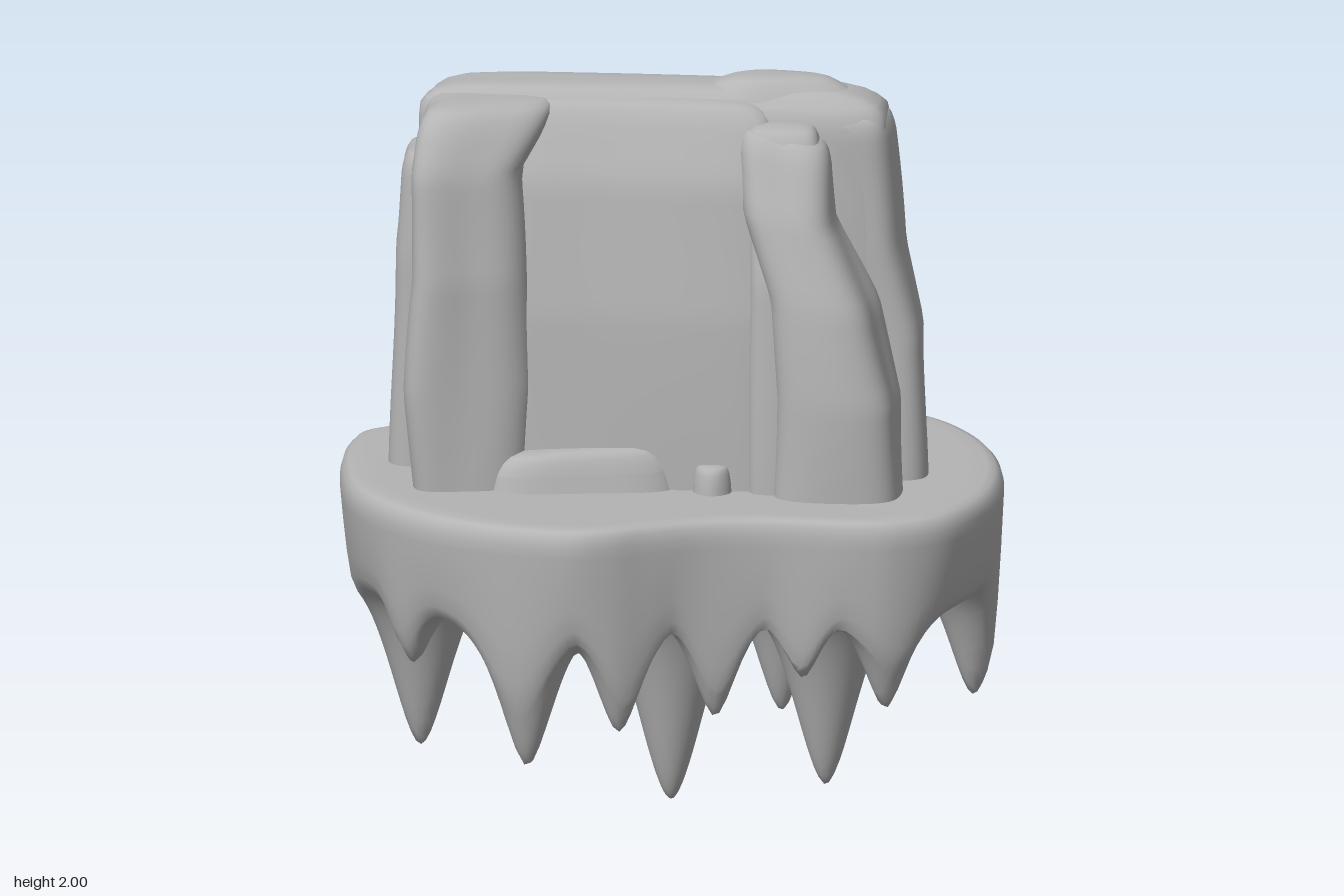
import * as THREE from 'three';

const stone = new THREE.MeshStandardMaterial({ color: 0xb4b4b4 });
stone.name = 'grey stone';

// Smooth skin over closed rings of equal length, ordered bottom to top
function skin(name, rings) {
  const n = rings[0].length, pos = [], idx = [];
  rings.forEach(r => r.forEach(p => pos.push(...p)));
  for (let j = 0; j < rings.length - 1; j++) {
    for (let i = 0; i < n; i++) {
      const a = j * n + i, b = j * n + (i + 1) % n;
      idx.push(a, a + n, b, b, a + n, b + n);
    }
  }
  const g = new THREE.BufferGeometry();
  g.setAttribute('position', new THREE.Float32BufferAttribute(pos, 3));
  g.setIndex(idx);
  g.computeVertexNormals();
  const mesh = new THREE.Mesh(g, stone);
  mesh.name = name;
  return mesh;
}

// Island: outline seen from above, and drip tips as [x, y, z]
const outline = [
  [-0.87, -0.2], [-0.84, -0.31], [-0.6, -0.44], [-0.28, -0.57], [-0.12, -0.675], [0, -0.705],
  [0.25, -0.7], [0.45, -0.67], [0.62, -0.6], [0.76, -0.42], [0.84, -0.2], [0.865, 0.02],
  [0.845, 0.22], [0.76, 0.42], [0.64, 0.51], [0.55, 0.53], [0.3, 0.52], [0.15, 0.55],
  [0, 0.62], [-0.1, 0.675], [-0.2, 0.7], [-0.45, 0.64], [-0.65, 0.51], [-0.8, 0.3], [-0.86, 0.05],
];
const drips = [
  // Long inner drips
  [-0.02, 0, -0.18], [0.41, 0.12, 0.08], [-0.65, 0.19, 0.05], [0.27, 0.25, -0.17],
  [-0.14, 0.39, 0.25], [0.13, 0.4, 0], [-0.34, 0.46, -0.08],
  // Drips along the rim
  [-0.32, 0.28, 0.57], [-0.08, 0.38, 0.58], [0.16, 0.4, 0.47], [0.39, 0.51, 0.47],
  [0.6, 0.42, 0.42], [0.78, 0.33, -0.08], [0.66, 0.52, -0.48], [0.3, 0.29, -0.62],
  [0.01, 0.42, -0.61], [-0.25, 0.45, -0.5], [-0.44, 0.42, -0.41], [-0.71, 0.46, -0.24],
  [-0.63, 0.51, 0.42],
];

// Height of the underside: rounded drips blended into a shallow core
function under(x, z, s) {
  const core = 0.13 * (1 - THREE.MathUtils.smoothstep(s, 0.1, 0.75));
  let sum = core ** 4;
  for (const [dx, dy, dz] of drips) {
    const depth = 0.67 - dy, w = 0.04 + 0.145 * depth;
    const f = depth * Math.exp(-((Math.hypot(x - dx, z - dz) / w) ** 1.75));
    sum += f ** 4;
  }
  return 0.67 - sum ** 0.25;
}

function island() {
  const curve = new THREE.CatmullRomCurve3(
    outline.map(([x, z]) => new THREE.Vector3(x, 0, z)), true, 'centripetal');
  const edge = curve.getSpacedPoints(240).slice(0, 240);
  const rings = [];
  const lip = 0.95, steps = 64;
  for (let k = 0; k <= steps; k++) {
    const s = lip * k / steps;
    rings.push(edge.map(p => [p.x * s, under(p.x * s, p.z * s, s), p.z * s]));
  }
  // Outer skirt, from the scalloped lip up to the rim
  for (const t of [0.15, 0.4, 0.7, 1]) {
    const s = THREE.MathUtils.lerp(lip, 1, Math.sqrt(t));
    rings.push(edge.map(p => {
      const y = under(p.x * lip, p.z * lip, lip);
      return [p.x * s, THREE.MathUtils.lerp(y, 0.87, t), p.z * s];
    }));
  }
  // Rounded rim and flat top
  for (const [s, y] of [[1, 0.9], [0.992, 0.925], [0.975, 0.94], [0.95, 0.946], [0.9, 0.946], [0.5, 0.945], [0, 0.945]]) {
    rings.push(edge.map(p => [p.x * s, y, p.z * s]));
  }
  return skin('floatingIsland', rings);
}

// Weathered rock: levels are [y, x0, x1, z0, z1]; n sets squareness,
// tilt slopes the top in x and shear slants the footprint in z
function rock(name, levels, { n = 5, tilt = 0, shear = 0, seed = 0, bump = 0.006, round = 0.07 } = {}) {
  const sides = 64, rows = 26, rings = [];
  const y0 = levels[0][0], top = levels[levels.length - 1][0];
  const at = y => {
    let i = 0;
    while (i < levels.length - 2 && y > levels[i + 1][0]) i++;
    const a = levels[i], b = levels[i + 1];
    const t = (y - a[0]) / (b[0] - a[0]);
    return a.map((v, k) => THREE.MathUtils.lerp(v, b[k], t));
  };
  const ring = (y, scale) => {
    const [, x0, x1, z0, z1] = at(y), out = [];
    const cx = (x0 + x1) / 2, cz = (z0 + z1) / 2;
    for (let i = 0; i < sides; i++) {
      const a = i / sides * Math.PI * 2, c = Math.cos(a), s = Math.sin(a);
      const r = scale / (Math.abs(c) ** n + Math.abs(s) ** n) ** (1 / n);
      const w = scale * bump * (Math.sin(3 * a + 3 * y + seed) + Math.sin(2 * a - 6 * y + 2 * seed));
      const dx = c * (r * (x1 - x0) / 2 + w);
      const lift = tilt * dx * (y - y0) / (top - y0);
      out.push([cx + dx, y + lift, cz + s * (r * (z1 - z0) / 2 + w) + shear * dx]);
    }
    rings.push(out);
  };
  for (let k = 0; k <= rows; k++) ring(y0 + (top - round - y0) * k / rows, 1);
  for (const [s, d] of [[0.985, 0.7], [0.95, 0.4], [0.88, 0.17], [0.75, 0.05], [0.4, 0], [0, 0]]) {
    ring(top - round * d, s);
  }
  return skin(name, rings);
}

export function createModel() {
  const group = new THREE.Group();
  group.name = 'floatingRockIsland';
  group.add(
    island(),
    // Main upright slab and its end columns
    rock('mainSlab', [[0.93, -0.68, 0.6, -0.18, 0.1], [1.4, -0.66, 0.58, -0.19, 0.1],
      [1.75, -0.65, 0.57, -0.18, 0.1], [1.9, -0.65, 0.565, -0.165, 0.1],
      [1.975, -0.63, 0.52, -0.11, 0.05]], { n: 6, seed: 1, round: 0.06 }),
    rock('topRidge', [[1.8, -0.1, 0.52, -0.14, 0.09], [1.93, 0, 0.5, -0.13, 0.06],
      [2, 0.14, 0.42, -0.08, 0.02]], { n: 2.5, seed: 2, round: 0.05 }),
    rock('rightColumn', [[0.93, 0.4, 0.665, -0.17, 0.09], [1.33, 0.4, 0.655, -0.17, 0.09],
      [1.55, 0.36, 0.6, -0.16, 0.1], [1.92, 0.32, 0.565, -0.15, 0.09]], { n: 4, seed: 3 }),
    rock('rearEndColumn', [[0.93, -0.73, -0.45, -0.16, 0.08], [1.5, -0.73, -0.45, -0.17, 0.08],
      [1.79, -0.705, -0.45, -0.16, 0.07]], { n: 4, seed: 4 }),
    // Front pillars framing a leaning panel
    rock('frontPanel', [[0.93, -0.46, 0.32, -0.1, 0.245], [1.4, -0.46, 0.32, -0.1, 0.225],
      [1.75, -0.46, 0.28, -0.1, 0.18], [1.95, -0.42, 0.26, -0.1, 0.1]], { n: 8, bump: 0.003 }),
    rock('frontLeftPillar', [[0.93, -0.65, -0.35, 0, 0.31], [1.2, -0.665, -0.335, 0, 0.31],
      [1.5, -0.645, -0.36, 0, 0.31], [1.78, -0.66, -0.38, 0, 0.285],
      [1.95, -0.645, -0.27, -0.08, 0.2]], { n: 4, seed: 2, shear: -0.3, round: 0.09 }),
    rock('frontRightStep', [[0.93, 0.22, 0.45, 0, 0.27], [1.5, 0.22, 0.43, 0, 0.25],
      [1.9, 0.2, 0.4, -0.05, 0.16]], { n: 5, seed: 5, bump: 0.003 }),
    rock('frontRightPillar', [[0.93, 0.28, 0.62, 0.09, 0.34], [1.2, 0.29, 0.615, 0.07, 0.335],
      [1.45, 0.28, 0.55, 0.03, 0.31], [1.67, 0.21, 0.44, -0.02, 0.26],
      [1.88, 0.19, 0.42, -0.05, 0.18]], { n: 3.5, seed: 6, tilt: -0.15 }),
    // Rear buttresses and the plate beside them
    rock('rearButtress', [[0.93, -0.42, 0.08, -0.28, 0], [1.4, -0.4, 0.06, -0.285, 0],
      [1.7, -0.37, 0.04, -0.285, 0], [1.93, -0.28, 0.02, -0.15, 0]], { n: 3.5, seed: 7, round: 0.1 }),
    rock('rearLeftFlank', [[0.93, -0.71, 0, -0.24, 0], [1.4, -0.7, 0, -0.24, 0],
      [1.82, -0.67, 0, -0.2, 0]], { n: 6, seed: 3, shear: -0.17, bump: 0.004, round: 0.06 }),
    rock('rearShoulder', [[0.93, -0.05, 0.42, -0.24, 0], [1.5, -0.05, 0.41, -0.26, 0],
      [1.72, -0.05, 0.4, -0.265, 0], [1.94, -0.04, 0.36, -0.15, 0]], { n: 5, seed: 8 }),
    rock('rearPlate', [[1.2, -0.5, -0.42, -0.23, -0.1], [1.4, -0.56, -0.38, -0.25, -0.1],
      [1.81, -0.57, -0.36, -0.225, -0.1]], { n: 6, seed: 1, bump: 0.003, round: 0.03 }),
    // Fallen stones around the foot
    rock('rearBoulder', [[0.93, -0.22, 0.44, -0.46, 0], [1.06, -0.14, 0.4, -0.42, 0],
      [1.19, 0, 0.32, -0.35, 0]], { n: 1.7, seed: 3, round: 0.1, bump: 0.004 }),
    rock('frontRubble', [[0.93, -0.44, 0.03, 0.15, 0.315], [1.05, -0.42, 0, 0.15, 0.29]],
      { n: 3, seed: 4, round: 0.06, tilt: 0.06, shear: -0.12, bump: 0.004 }),
    rock('frontPebble', [[0.93, 0.08, 0.18, 0.2, 0.3], [1.015, 0.085, 0.175, 0.2, 0.29]],
      { n: 2, bump: 0.002, round: 0.05 }),
  );
  return group;
}
